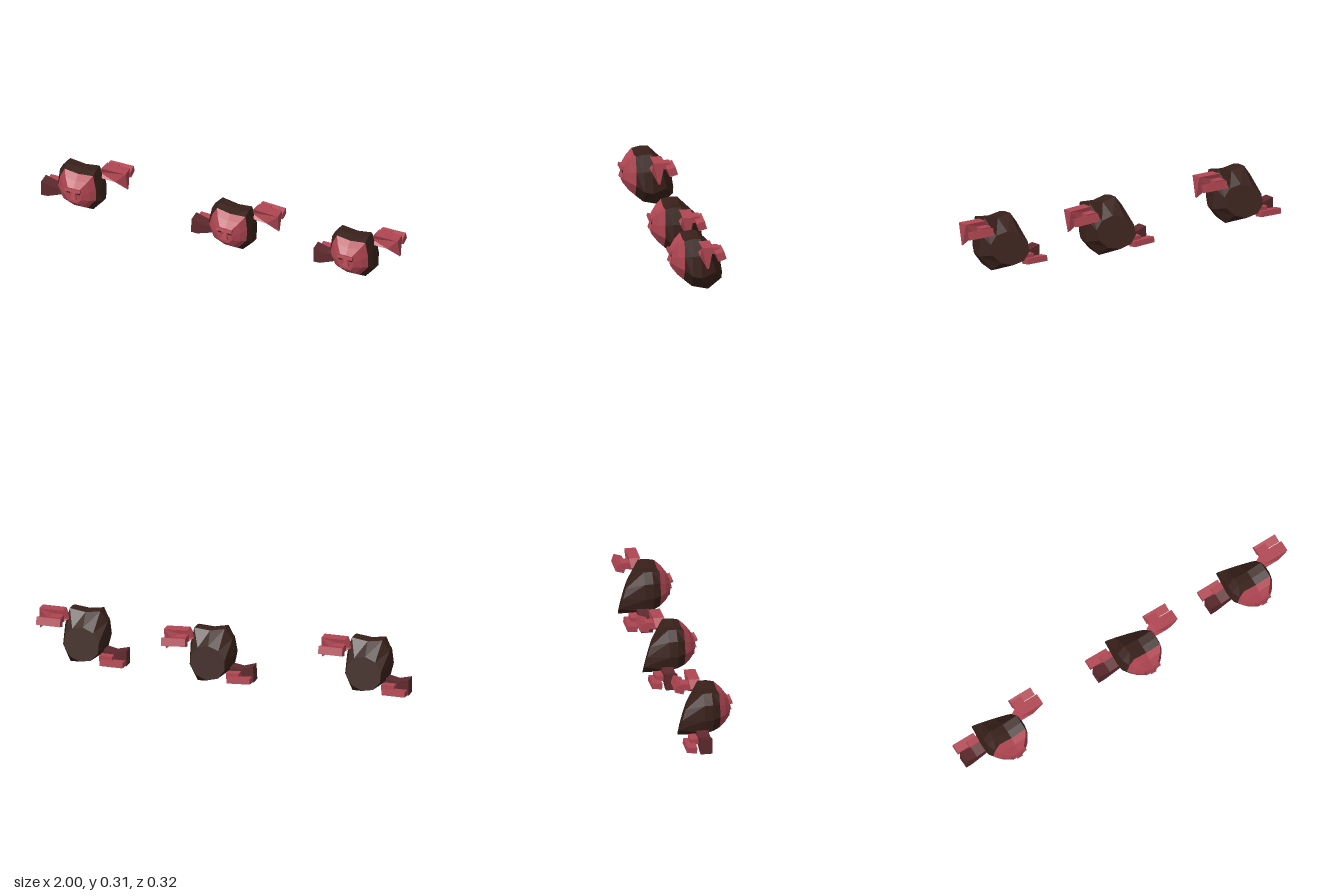
import * as THREE from 'three';

const material = (color) => new THREE.MeshStandardMaterial({ color, flatShading: true, side: THREE.DoubleSide });
const hairMat = material(0x38201a);
const skinMat = material(0xb04652);
const shadeMat = material(0x5e2a2e);

// Skin a list of closed rings (back to front), with fans over both ends
function loft(rings) {
  const out = [];
  const tri = (...pts) => pts.forEach((p) => out.push(p.x, p.y, p.z));
  const mid = (ring) => ring.reduce((s, p) => s.add(p), new THREE.Vector3()).divideScalar(ring.length);
  const n = rings[0].length;
  const first = rings[0], last = rings[rings.length - 1];
  const backMid = mid(first), frontMid = mid(last);
  for (let j = 0; j < n; j++) {
    const k = (j + 1) % n;
    for (let i = 0; i < rings.length - 1; i++) {
      const a = rings[i], b = rings[i + 1];
      tri(a[j], a[k], b[k]);
      tri(a[j], b[k], b[j]);
    }
    tri(backMid, first[k], first[j]);
    tri(frontMid, last[j], last[k]);
  }
  const geo = new THREE.BufferGeometry();
  geo.setAttribute('position', new THREE.Float32BufferAttribute(out, 3));
  geo.computeVertexNormals();
  return geo;
}

function add(group, name, geo, mat, x = 0, y = 0, z = 0) {
  const mesh = new THREE.Mesh(geo, mat);
  mesh.name = name;
  mesh.position.set(x, y, z);
  group.add(mesh);
  return mesh;
}

// Outline in x, y extruded from z0 to z1
function slab(points, z0, z1) {
  const shape = new THREE.Shape(points.map(([x, y]) => new THREE.Vector2(x, y)));
  const geo = new THREE.ExtrudeGeometry(shape, { depth: z1 - z0, bevelEnabled: false });
  return geo.translate(0, 0, z0);
}

// Head outlines, counter-clockwise from the top corner
const hairOutline = [[0.085, 0.318], [0, 0.305], [-0.08, 0.318], [-0.12, 0.265], [-0.13, 0.185],
  [-0.112, 0.105], [0, 0.062], [0.07, 0.042], [0.122, 0.115], [0.11, 0.23]];
const faceOutline = [[0.085, 0.308], [0, 0.298], [-0.075, 0.31], [-0.1, 0.255], [-0.113, 0.19],
  [-0.085, 0.122], [-0.01, 0.09], [0.055, 0.092], [0.1, 0.155], [0.1, 0.225]];

function createHead() {
  const head = new THREE.Group();
  head.name = 'head';

  // Flat slanted octagonal back, widest in the middle, open toward the face
  const back = Array.from({ length: 10 }, (_, j) => {
    const a = Math.PI * (0.3 + j / 5);
    const dx = 0.105 * Math.cos(a), dy = 0.085 * Math.sin(a);
    return new THREE.Vector3(dx - 0.008, 0.16 + dy, -0.122 + 0.26 * dx + 0.3 * dy);
  });
  const middleBack = hairOutline.map(([x, y]) => new THREE.Vector3(x, y, y < 0.07 ? -0.065 : -0.025));
  const middleFront = hairOutline.map(([x, y]) =>
    new THREE.Vector3(x * 0.99, 0.195 + (y - 0.195) * (y < 0.12 ? 0.88 : 1), 0.02));
  const rim = faceOutline.map(([x, y]) => new THREE.Vector3(x, y, 0.06));
  add(head, 'hair', loft([back, middleBack, middleFront, rim]), hairMat);

  // Faceted face tapering forward
  const faceRing = (s, z) => faceOutline.map(([x, y]) =>
    new THREE.Vector3(x * s, 0.2 + (y - 0.2) * s, z));
  add(head, 'face', loft([faceRing(1, 0.06), faceRing(0.76, 0.092), faceRing(0.42, 0.122)]), skinMat);

  // Brow, nose, eyes and mouth
  const brow = add(head, 'brow', new THREE.BoxGeometry(0.085, 0.016, 0.03), skinMat, 0, 0.236, 0.122);
  brow.rotation.x = -0.3;
  const nose = add(head, 'nose', new THREE.CylinderGeometry(0.008, 0.024, 0.042, 4, 1), skinMat, 0.004, 0.205, 0.121);
  nose.rotation.y = Math.PI / 4;
  for (const side of [-1, 1]) {
    const name = side > 0 ? 'leftEye' : 'rightEye';
    add(head, name, new THREE.BoxGeometry(0.02, 0.01, 0.006), hairMat, side * 0.028, 0.218, 0.122);
  }
  add(head, 'lip', new THREE.BoxGeometry(0.06, 0.014, 0.02), skinMat, 0, 0.165, 0.113);
  add(head, 'mouth', new THREE.BoxGeometry(0.05, 0.005, 0.022), hairMat, 0, 0.156, 0.11);
  return head;
}

function createRaisedHand() {
  const hand = new THREE.Group();
  hand.name = 'raisedHand';
  // Front of the hand with a pointed, hooked tip
  const front = slab([[0.08, 0.272], [0.108, 0.252], [0.18, 0.25], [0.24, 0.2], [0.238, 0.315], [0.11, 0.315]], -0.068, -0.008);
  const pos = front.attributes.position;
  for (let i = 0; i < pos.count; i++) {
    if (pos.getY(i) < 0.21) pos.setZ(i, -0.04 + (pos.getZ(i) + 0.038) * 0.15);
    if (pos.getX(i) < 0.09) pos.setZ(i, -0.045 + (pos.getZ(i) + 0.038) * 0.5);
  }
  add(hand, 'hookedFinger', front, skinMat);
  const finger = add(hand, 'rearFinger', new THREE.BoxGeometry(0.13, 0.042, 0.045), skinMat, 0.17, 0.263, -0.11);
  finger.rotation.x = 0.3;
  add(hand, 'palm', new THREE.BoxGeometry(0.06, 0.035, 0.07), skinMat, 0.135, 0.275, -0.075);
  return hand;
}

function createLoweredHand() {
  const hand = new THREE.Group();
  hand.name = 'loweredHand';
  // Shaded front of the hand flaring toward the tip
  const front = slab([[-0.08, 0.1], [-0.092, 0.133], [-0.17, 0.115], [-0.236, 0.132], [-0.236, 0.046], [-0.2, 0.048]], -0.068, -0.006);
  add(hand, 'flaredFinger', front, shadeMat);
  const finger = add(hand, 'rearFinger', new THREE.BoxGeometry(0.125, 0.03, 0.052), skinMat, -0.173, 0.072, -0.112);
  finger.rotation.x = 0.12;
  add(hand, 'palm', new THREE.BoxGeometry(0.07, 0.03, 0.07), skinMat, -0.135, 0.09, -0.075);
  return hand;
}

export function createModel() {
  const model = new THREE.Group();
  model.name = 'threeFigures';
  // Three figures in a row; the middle one leans a little
  const places = [
    { name: 'rightFigure', at: [-0.763, 0, 0.026], lean: 0 },
    { name: 'middleFigure', at: [0.066, -0.026, 0], lean: -0.06 },
    { name: 'leftFigure', at: [0.76, 0, 0], lean: 0 },
  ];
  for (const { name, at, lean } of places) {
    const figure = new THREE.Group();
    figure.name = name;
    figure.add(createHead(), createRaisedHand(), createLoweredHand());
    figure.position.set(...at);
    figure.rotation.z = lean;
    model.add(figure);
  }
  return model;
}
